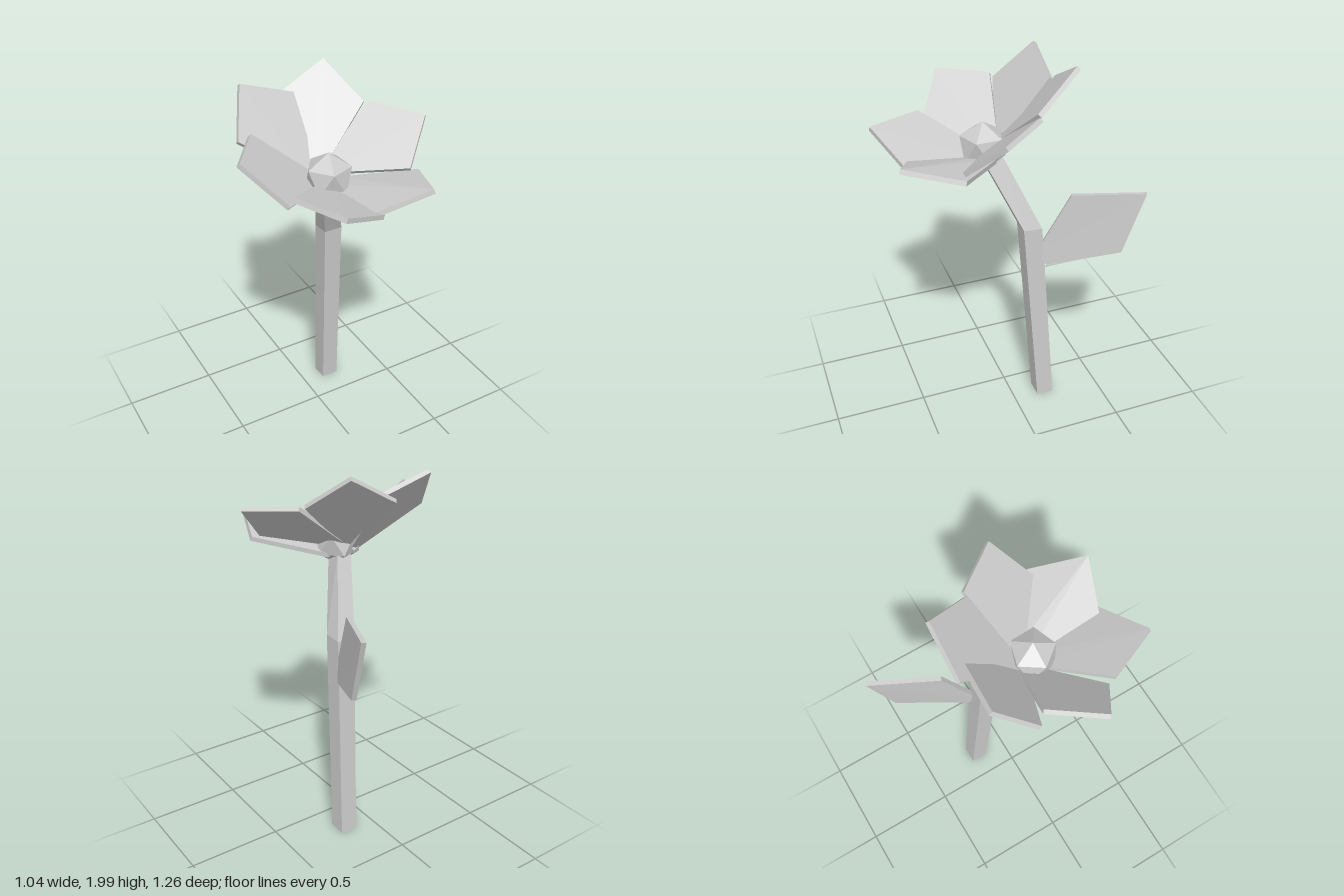
import * as THREE from 'three';

const V = (p) => new THREE.Vector3(...p);
const material = new THREE.MeshStandardMaterial({ color: 0xcccccc, flatShading: true });

// Closed solid through matching loops of points, capped at both ends.
// Each loop runs counterclockwise as seen from the last ring's side.
function loft(rings) {
  const pos = [];
  const tri = (...pts) => pts.forEach((p) => pos.push(p.x, p.y, p.z));
  const n = rings[0].length;
  for (let r = 0; r < rings.length - 1; r++) {
    for (let i = 0; i < n; i++) {
      const j = (i + 1) % n;
      const [a, b, c, d] = [rings[r][i], rings[r][j], rings[r + 1][j], rings[r + 1][i]];
      tri(a, b, c);
      tri(a, c, d);
    }
  }
  const first = rings[0], last = rings[rings.length - 1];
  for (let i = 1; i < n - 1; i++) {
    tri(first[0], first[i + 1], first[i]);
    tri(last[0], last[i], last[i + 1]);
  }
  const geo = new THREE.BufferGeometry();
  geo.setAttribute('position', new THREE.Float32BufferAttribute(pos, 3));
  geo.computeVertexNormals();
  return geo;
}

// Thin five-cornered blade: tip, two shoulders and a narrow foot.
function blade(tipP, sideA, sideC, footP, halfWidth = 0.035, thickness = 0.024) {
  const T = V(tipP), A = V(sideA), C = V(sideC);
  const mid = A.clone().lerp(C, 0.5);
  const foot = footP ? V(footP) : mid.clone().addScaledVector(T.clone().sub(mid), -1.75);
  if (!footP) foot.y = Math.max(foot.y, 1.5);
  const across = C.clone().sub(A).setLength(halfWidth);
  const loop = [T, C, foot.clone().add(across), foot.clone().sub(across), A];
  const normal = C.clone().sub(T).cross(A.clone().sub(T)).setLength(thickness / 2);
  return loft([
    loop.map((p) => p.clone().sub(normal)),
    loop.map((p) => p.clone().add(normal)),
  ]);
}

export function createModel() {
  const group = new THREE.Group();
  const add = (name, geo) => {
    const mesh = new THREE.Mesh(geo, material);
    mesh.name = name;
    group.add(mesh);
    return mesh;
  };

  // Square stem, bending forward under the flower: centre, half width, slope of the ring
  const corners = [[1, 1], [1, -1], [-1, -1], [-1, 1]];
  const sections = [
    { c: [0.16, 0.004, -0.18], h: 0.048, slope: 0.004 },
    { c: [0.121, 1.125, -0.098], h: 0.051, slope: 0.004 },
    { c: [0.01, 1.49, 0.066], h: 0.042, slope: -0.02 },
  ];
  add('stem', loft(sections.map(({ c, h, slope }) =>
    corners.map(([sx, sz]) => V([c[0] + sx * h, c[1] + sz * slope, c[2] + sz * h])))));

  // Petals: tip and the two shoulders
  const petals = {
    petalRearLeft: [[0.2, 1.985, -0.3], [-0.06, 1.845, -0.305], [0.3, 1.82, -0.065]],
    petalRearRight: [[-0.285, 1.955, -0.275], [-0.39, 1.75, -0.09], [-0.005, 1.865, -0.25]],
    petalRight: [[-0.515, 1.79, 0.19], [-0.345, 1.795, -0.05], [-0.335, 1.585, 0.325]],
    petalFrontRight: [[-0.215, 1.645, 0.628], [-0.332, 1.645, 0.352], [0.05, 1.53, 0.523]],
    petalFrontLeft: [[0.27, 1.64, 0.597], [0.385, 1.585, 0.32], [-0.01, 1.532, 0.497]],
    petalLeft: [[0.51, 1.79, 0.173], [0.33, 1.815, -0.063], [0.335, 1.605, 0.315]],
  };
  for (const [name, pts] of Object.entries(petals)) add(name, blade(...pts));

  // Faceted flower centre with one corner pointing straight up
  const centre = new THREE.IcosahedronGeometry(0.128, 0);
  centre.rotateX(-Math.atan((1 + Math.sqrt(5)) / 2));
  centre.rotateY(THREE.MathUtils.degToRad(-16));
  add('flowerCentre', centre).position.set(-0.005, 1.563, 0.11);

  // Single leaf low on the back of the stem
  add('leaf', blade([0.367, 1.342, -0.63], [0.207, 1.315, -0.29], [0.345, 1.003, -0.525],
    [0.165, 0.935, -0.15], 0.045));

  return group;
}
